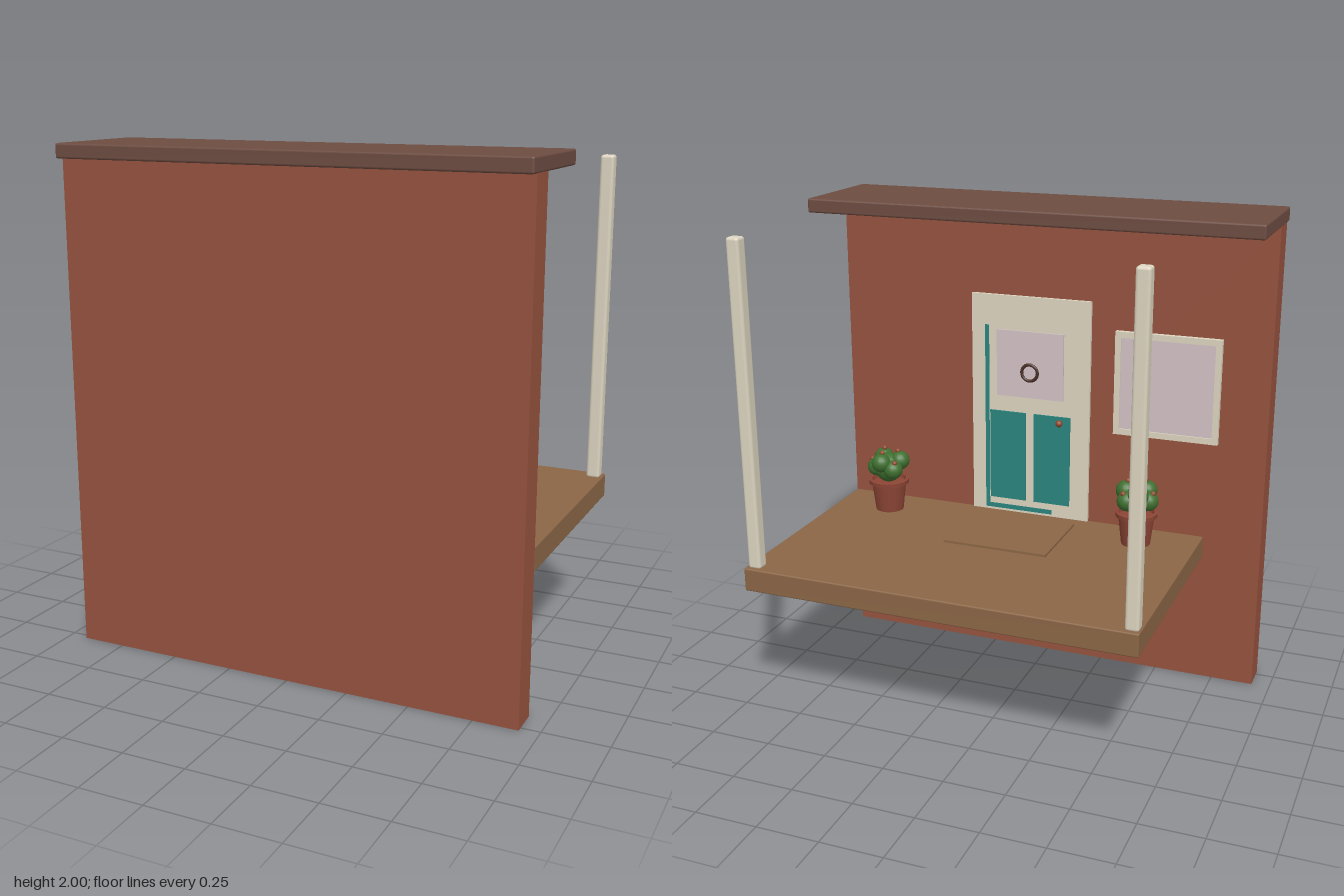
import * as THREE from 'three';
import { RoundedBoxGeometry } from 'three/addons/geometries/RoundedBoxGeometry.js';

const mat = (name, color) => {
  const m = new THREE.MeshStandardMaterial({ color });
  m.name = name;
  return m;
};

export function createModel() {
  const brick = mat('brick', 0x96523e);
  const roofBrown = mat('roof brown', 0x6d4c41);
  const wood = mat('wood', 0x8b6646);
  const cream = mat('cream', 0xdcd4c0);
  const teal = mat('teal', 0x2a857e);
  const glass = mat('glass', 0xd3c2c4);
  const terracotta = mat('terracotta', 0x8c4535);
  const leaf = mat('leaf', 0x3f7030);
  const berry = mat('berry', 0x90492f);
  const twig = mat('twig', 0x4a3028);

  const model = new THREE.Group();
  model.name = 'porch';

  const add = (parent, name, geometry, material, x = 0, y = 0, z = 0) => {
    const mesh = new THREE.Mesh(geometry, material);
    mesh.name = name;
    mesh.position.set(x, y, z);
    parent.add(mesh);
    return mesh;
  };
  // Box given by its limits on each axis, with optional rounded edges
  const box = (parent, name, material, [x0, x1], [y0, y1], [z0, z1], r = 0) => {
    const size = [x1 - x0, y1 - y0, z1 - z0];
    const geometry = r ? new RoundedBoxGeometry(...size, 2, r) : new THREE.BoxGeometry(...size);
    return add(parent, name, geometry, material, (x0 + x1) / 2, (y0 + y1) / 2, (z0 + z1) / 2);
  };

  // House wall, roof slab and raised deck
  box(model, 'wall', brick, [-0.925, 0.925], [0, 1.945], [0.405, 0.522]);
  box(model, 'roof', roofBrown, [-0.927, 0.927], [1.943, 2], [0.083, 0.565], 0.008);
  box(model, 'deck', wood, [-0.685, 0.925], [0.55, 0.645], [-0.565, 0.405], 0.006);
  box(model, 'doormat', wood, [-0.145, 0.3], [0.645, 0.655], [-0.038, 0.322]);

  // Deck posts
  for (const x of [-0.652, 0.888]) {
    box(model, 'post', cream, [x - 0.027, x + 0.027], [0.64, 1.945], [-0.548, -0.494], 0.012);
  }

  // Door with lower panels, edge strips, window, wreath and knob
  const door = new THREE.Group();
  door.name = 'door';
  model.add(door);
  const cx = 0.08;
  box(door, 'doorFrame', cream, [cx - 0.262, cx + 0.262], [0.645, 1.6], [0.39, 0.406]);
  box(door, 'doorSideStrip', teal, [cx + 0.185, cx + 0.203], [0.67, 1.47], [0.3885, 0.391]);
  box(door, 'doorBottomStrip', teal, [cx - 0.1, cx + 0.203], [0.655, 0.675], [0.3885, 0.391]);
  for (const s of [-1, 1]) {
    const xs = [cx + s * 0.018, cx + s * 0.18].sort((a, b) => a - b);
    box(door, 'doorPanel', teal, xs, [0.705, 1.1], [0.384, 0.391]);
  }
  box(door, 'doorWindow', glass, [cx - 0.148, cx + 0.148], [1.17, 1.455], [0.382, 0.391]);
  add(door, 'wreath', new THREE.TorusGeometry(0.035, 0.007, 8, 24), twig, cx, 1.28, 0.38);
  add(door, 'knob', new THREE.SphereGeometry(0.015, 16, 12), berry, -0.055, 1.075, 0.372);
  const stem = add(door, 'knobStem', new THREE.CylinderGeometry(0.006, 0.006, 0.025, 10), berry, -0.055, 1.075, 0.382);
  stem.rotation.x = Math.PI / 2;

  // House window: four frame bars around a pane
  const win = new THREE.Group();
  win.name = 'window';
  model.add(win);
  const [wl, wr, wb, wt, bar] = [-0.728, -0.288, 1.055, 1.49, 0.025];
  const wz = [0.383, 0.406];
  box(win, 'pane', glass, [wl + bar, wr - bar], [wb + bar, wt - bar], [0.39, 0.406]);
  box(win, 'frameBottom', cream, [wl, wr], [wb, wb + bar], wz);
  box(win, 'frameTop', cream, [wl, wr], [wt - bar, wt], wz);
  box(win, 'frameSide', cream, [wl, wl + bar], [wb + bar, wt - bar], wz);
  box(win, 'frameSide', cream, [wr - bar, wr], [wb + bar, wt - bar], wz);

  // Potted plants: tapered pot with rim, leafy clumps and small berries
  const potProfile = [
    [0, 0], [0.06, 0], [0.074, 0.118], [0.086, 0.12], [0.087, 0.138], [0.074, 0.14], [0.07, 0.122], [0, 0.122],
  ].map(([r, y]) => new THREE.Vector2(r, y));
  const potGeometry = new THREE.LatheGeometry(potProfile, 24).toNonIndexed();
  potGeometry.computeVertexNormals();
  const clump = new THREE.SphereGeometry(1, 16, 12);
  const berryGeometry = new THREE.SphereGeometry(0.011, 10, 8);

  const plant = (x, turn) => {
    const g = new THREE.Group();
    g.name = 'pottedPlant';
    g.position.set(x, 0.645, 0.24);
    g.rotation.y = turn;
    model.add(g);
    add(g, 'pot', potGeometry, terracotta);
    add(g, 'foliage', clump, leaf, 0, 0.19, 0).scale.set(0.06, 0.065, 0.06);
    for (let i = 0; i < 6; i++) {
      const a = (i / 6) * Math.PI * 2;
      const y = i % 2 ? 0.222 : 0.192;
      const c = Math.cos(a), s = Math.sin(a);
      add(g, 'foliage', clump, leaf, c * 0.05, y, s * 0.05).scale.set(0.042, 0.041, 0.042);
      const b = add(g, 'berry', berryGeometry, berry, c * 0.042, y + 0.043, s * 0.042);
      if (i % 2 === 0) b.position.set(c * 0.07, y + 0.035, s * 0.07);
    }
  };
  plant(0.68, 0.3);
  plant(-0.44, 0.9);

  return model;
}
